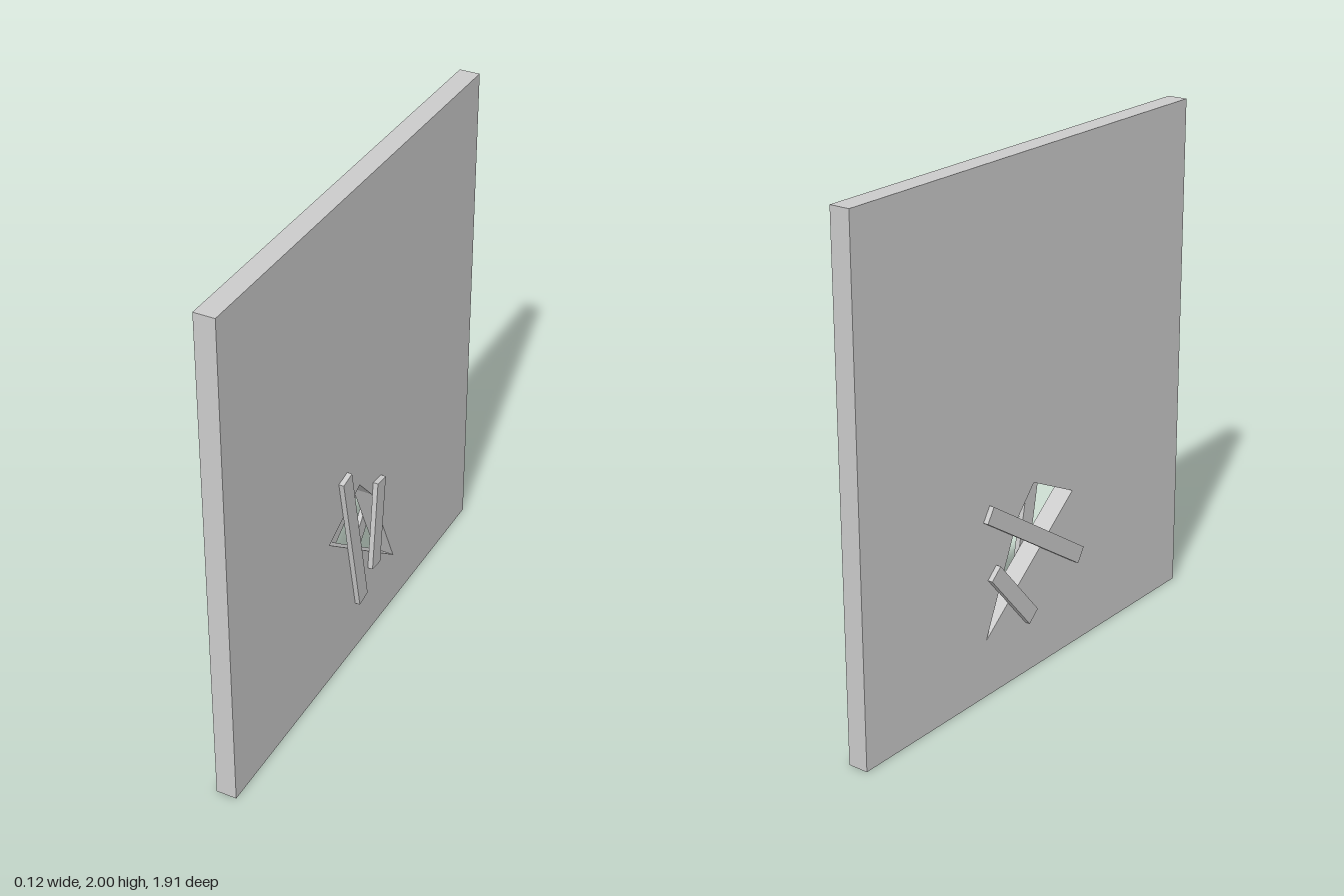
import * as THREE from 'three';

const HALF = 0.04;    // half the wall thickness
const BOARD_W = 0.066;
const BOARD_T = 0.02;

export function createModel() {
  const model = new THREE.Group();
  model.name = 'boardedWall';
  const mat = new THREE.MeshStandardMaterial({ color: 0xcccccc, flatShading: true });

  // Drawn in a local plane (u, y), then turned so that u runs along -z and depth along +x
  const turned = new THREE.Group();
  turned.name = 'wallAndBoards';
  turned.rotation.y = Math.PI / 2;
  model.add(turned);

  // Wall slab with a jagged hole
  const slab = new THREE.Shape([[-0.955, 0], [0.955, 0], [0.955, 2], [-0.955, 2]]
    .map(([u, y]) => new THREE.Vector2(u, y)));
  slab.holes.push(new THREE.Path([[-0.24, 0.64], [0, 0.755], [0.1, 0.645], [0.287, 0.228]]
    .map(([u, y]) => new THREE.Vector2(u, y))));
  const wallGeo = new THREE.ExtrudeGeometry(slab, { depth: 2 * HALF, bevelEnabled: false });
  wallGeo.translate(0, 0, -HALF);
  const wall = new THREE.Mesh(wallGeo, mat);
  wall.name = 'wall';
  turned.add(wall);

  // Board laid from one end point to the other, on the +x (side 1) or -x (side -1) face
  function addBoard(name, side, u0, y0, u1, y1) {
    const length = Math.hypot(u1 - u0, y1 - y0);
    const board = new THREE.Mesh(new THREE.BoxGeometry(length, BOARD_W, BOARD_T), mat);
    board.name = name;
    board.position.set((u0 + u1) / 2, (y0 + y1) / 2, side * (HALF + BOARD_T / 2));
    board.rotation.z = Math.atan2(y1 - y0, u1 - u0);
    turned.add(board);
  }

  // Boards nailed over the hole, two per face
  addBoard('leftLongBoard', 1, -0.0025, 0.225, -0.1325, 0.87);
  addBoard('leftShortBoard', 1, 0.1025, 0.3125, 0.1425, 0.69);
  addBoard('rightLongBoard', -1, -0.2725, 0.3675, 0.28, 0.7275);
  addBoard('rightShortBoard', -1, 0.026, 0.228, 0.25, 0.487);

  return model;
}
